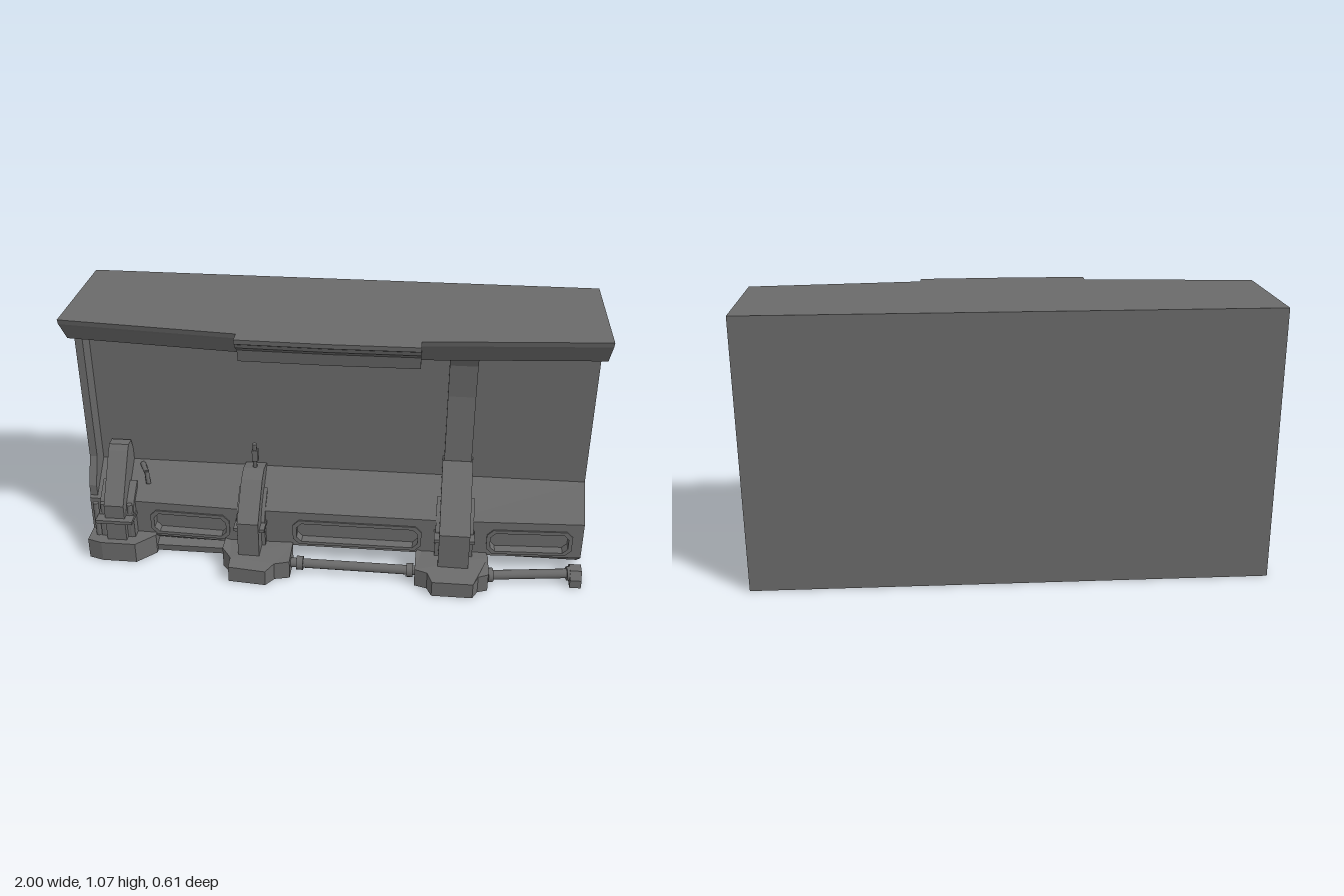
import * as THREE from 'three';

const grey = new THREE.MeshStandardMaterial({ color: 0x6a6a6a });
grey.name = 'dark grey';

// Piecewise linear value through [x, value] nodes
function along(nodes, x) {
  for (let i = 1; i < nodes.length; i++) {
    const [a, va] = nodes[i - 1], [b, vb] = nodes[i];
    if (x <= b) return va + (vb - va) * (x - a) / (b - a);
  }
  return nodes[nodes.length - 1][1];
}
const bow = x => along([[-1, 0], [-0.36, 0.025], [0.45, 0.025], [1, 0]], x);
const canopyEdge = x => along([[-1, 0.193], [-0.33, 0.25], [0.33, 0.25], [1, 0.193]], x);

// Skin of [z, y] cross-sections placed at each x, with closed ends
function loft(xs, section) {
  const pos = [];
  const put = (x, p) => pos.push(x, p[1], p[0]);
  for (let i = 0; i < xs.length - 1; i++) {
    const a = section(xs[i]), b = section(xs[i + 1]), n = a.length;
    for (let k = 0; k < n; k++) {
      const m = (k + 1) % n;
      put(xs[i], a[k]); put(xs[i + 1], b[k]); put(xs[i + 1], b[m]);
      put(xs[i], a[k]); put(xs[i + 1], b[m]); put(xs[i], a[m]);
    }
  }
  for (const end of [0, xs.length - 1]) {
    const s = section(xs[end]);
    const faces = THREE.ShapeUtils.triangulateShape(s.map(p => new THREE.Vector2(p[0], p[1])), []);
    for (const f of faces) for (const k of end ? [f[2], f[1], f[0]] : f) put(xs[end], s[k]);
  }
  const g = new THREE.BufferGeometry();
  g.setAttribute('position', new THREE.Float32BufferAttribute(pos, 3));
  g.computeVertexNormals();
  return g;
}

const shapeOf = pts => new THREE.Shape(pts.map(p => new THREE.Vector2(p[0], p[1])));
const chamferedRect = (x0, x1, y0, y1, c) => [
  [x0 + c, y0], [x1 - c, y0], [x1, y0 + c], [x1, y1 - c],
  [x1 - c, y1], [x0 + c, y1], [x0, y1 - c], [x0, y0 + c]];

export function createModel() {
  const group = new THREE.Group();
  const add = (name, geometry) => {
    const mesh = new THREE.Mesh(geometry, grey);
    mesh.name = name;
    group.add(mesh);
    return mesh;
  };
  const box = (name, x0, x1, y0, y1, z0, z1) => {
    const m = add(name, new THREE.BoxGeometry(x1 - x0, y1 - y0, z1 - z0));
    m.position.set((x0 + x1) / 2, (y0 + y1) / 2, (z0 + z1) / 2);
    return m;
  };
  const rib = (name, x0, x1, pts) => add(name, loft([x0, x1], () => pts));
  const rod = (name, a, b, r, sides = 12) => {
    const A = new THREE.Vector3(...a), d = new THREE.Vector3(...b).sub(A);
    const m = add(name, new THREE.CylinderGeometry(r, r, d.length(), sides));
    m.position.copy(A).addScaledVector(d, 0.5);
    m.quaternion.setFromUnitVectors(new THREE.Vector3(0, 1, 0), d.normalize());
  };

  // Wall with bench below and canopy wings above
  add('wallBody', loft([-1, -0.36, -0.33, 0.33, 0.45, 1], x => {
    const b = bow(x), c = canopyEdge(x), top = x > 0.4 ? 0.91 : 0.885;
    return [[-0.305, 0], [0.01, 0], [0.1 + b, 0.075], [0.065 + b, 0.075],
      [0.065 + b, 0.235], [0.1 + b, 0.235], [-0.037, 0.35], [-0.037, top],
      [0.015, 0.96], [c - 0.08, 0.96], [c - 0.02, 1.035], [c - 0.006, 1.05],
      [c, 1.07], [-0.305, 1.07]];
  }));

  // Stepped centre section of the canopy
  add('canopyCentre', loft([-0.33, 0, 0.33], x => {
    const d = 0.005 * (1 - Math.abs(x) / 0.33);
    return [[0.1, 0.956], [0.235 + d, 0.956], [0.245 + d, 1.005], [0.28 + d, 1.03],
      [0.285 + d, 1.045], [0.298 + d, 1.052], [0.3 + d, 1.07], [0.1, 1.07]];
  }));

  // Bench front panels with chamfered openings and raised rims
  const panels = [[-1, -0.36, -0.75, -0.42], [-0.36, 0.45, -0.16, 0.36], [0.45, 1, 0.62, 0.96]];
  const plate = (name, outline, hole, z, depth) => {
    const s = shapeOf(outline);
    s.holes.push(new THREE.Path(hole.map(p => new THREE.Vector2(p[0], p[1]))));
    const g = new THREE.ExtrudeGeometry(s, { depth, bevelEnabled: false });
    const p = g.attributes.position;
    for (let i = 0; i < p.count; i++) p.setZ(i, p.getZ(i) + z + bow(p.getX(i)));
    g.computeVertexNormals();
    add(name, g);
  };
  for (const [x0, x1, h0, h1] of panels) {
    const hole = chamferedRect(h0 + 0.015, h1 - 0.015, 0.1, 0.185, 0.02);
    plate('benchPanel', [[x0, 0.075], [x1, 0.075], [x1, 0.235], [x0, 0.235]], hole, 0.065, 0.035);
    plate('openingRim', chamferedRect(h0, h1, 0.087, 0.2, 0.025), hole, 0.1, 0.006);
  }

  // Upright flange at the right end
  rib('endFlange', -1, -0.97, [[-0.1, 0.24], [0.09, 0.24], [0.09, 0.29], [0.04, 0.4],
    [0.04, 0.93], [0.07, 0.965], [-0.1, 0.965]]);

  // Buttress ribs
  rib('endRib', -0.92, -0.84, [[-0.05, 0.05], [0.175, 0.05], [0.175, 0.25], [0.04, 0.43],
    [0.02, 0.45], [-0.02, 0.45], [-0.05, 0.36]]);
  rib('middleRib', -0.37, -0.285, [[-0.05, 0.05], [0.22, 0.05], [0.22, 0.23], [0.085, 0.355],
    [0.03, 0.375], [-0.05, 0.36]]);
  rib('tallRib', 0.43, 0.55, [[-0.1, 0.05], [0.22, 0.05], [0.22, 0.23], [0.09, 0.35],
    [0, 0.44], [-0.1, 0.44]]);
  rib('column', 0.436, 0.544, [[-0.1, 0.42], [0, 0.43], [-0.015, 0.72], [0, 0.86],
    [0.04, 0.94], [0.06, 0.97], [-0.1, 0.97]]);

  // Shoulders and brackets beside the ribs
  for (const [x0, x1] of [[-0.95, -0.81], [-0.385, -0.27], [0.415, 0.565]]) {
    rib('ribShoulder', x0, x1, [[0.05, 0.05], [0.15, 0.05], [0.15, 0.2], [0.12, 0.245], [0.05, 0.3]]);
    box('ribBracket', x0 - 0.005, x1 + 0.005, 0.178, 0.192, 0.11, 0.197);
  }
  for (const x of [-0.965, -0.935, -0.825]) rod('post', [x, 0.08, 0.14], [x, 0.24, 0.14], 0.012, 8);

  // Floor feet: plan outlines in [x, z], with tops sloping to the front
  const foot = (name, pts) => {
    const g = new THREE.ExtrudeGeometry(shapeOf(pts.map(([x, z]) => [x, -z])),
      { depth: 0.088, bevelEnabled: false });
    g.rotateX(-Math.PI / 2);
    const p = g.attributes.position;
    for (let i = 0; i < p.count; i++) {
      if (p.getY(i) > 0.04) p.setY(i, 0.088 - 0.22 * Math.max(0, p.getZ(i) - 0.2));
    }
    g.computeVertexNormals();
    add(name, g);
  };
  foot('endFoot', [[-1, -0.05], [-1, 0.185], [-0.94, 0.203], [-0.8, 0.203], [-0.73, 0.13], [-0.73, -0.05]]);
  foot('middleFoot', [[-0.44, 0], [-0.44, 0.19], [-0.4, 0.24], [-0.4, 0.29], [-0.25, 0.303],
    [-0.22, 0.26], [-0.16, 0.245], [-0.16, 0.13], [-0.2, 0]]);
  foot('tallFoot', [[0.39, 0], [0.34, 0.14], [0.34, 0.245], [0.39, 0.26], [0.41, 0.305],
    [0.57, 0.305], [0.59, 0.265], [0.63, 0.25], [0.63, 0.15], [0.59, 0]]);
  rib('floorLedge', -0.75, -0.42, [[-0.05, 0], [0.11, 0], [0.115, 0.03], [0.06, 0.05], [-0.05, 0.05]]);

  // Foot rails with collars, and the bracket at the left end
  const rails = [[[-0.18, 0.04, 0.195], [0.36, 0.04, 0.2]], [[0.6, 0.04, 0.205], [0.98, 0.04, 0.155]]];
  for (const [a, b] of rails) {
    rod('footRail', a, b, 0.019);
    const A = new THREE.Vector3(...a), B = new THREE.Vector3(...b);
    for (const [t0, t1] of [[0.08, 0.13], [0.9, 0.95]]) {
      rod('railCollar', A.clone().lerp(B, t0).toArray(), A.clone().lerp(B, t1).toArray(), 0.028);
    }
  }
  rib('railBracket', 0.955, 1, [[0.1, 0], [0.2, 0], [0.2, 0.035], [0.175, 0.065], [0.13, 0.065], [0.1, 0.04]]);

  // Small fittings
  rod('lever', [-0.325, 0.36, 0.01], [-0.32, 0.49, 0.03], 0.009, 6);
  box('leverGrip', -0.332, -0.308, 0.41, 0.46, 0.01, 0.035);
  rod('hookArm', [-0.8, 0.34, -0.02], [-0.77, 0.335, 0.04], 0.011, 6);
  rod('hookTip', [-0.77, 0.34, 0.04], [-0.765, 0.285, 0.045], 0.01, 6);
  box('ceilingLamp', -0.33, -0.29, 0.944, 0.962, 0.04, 0.1);

  return group;
}
